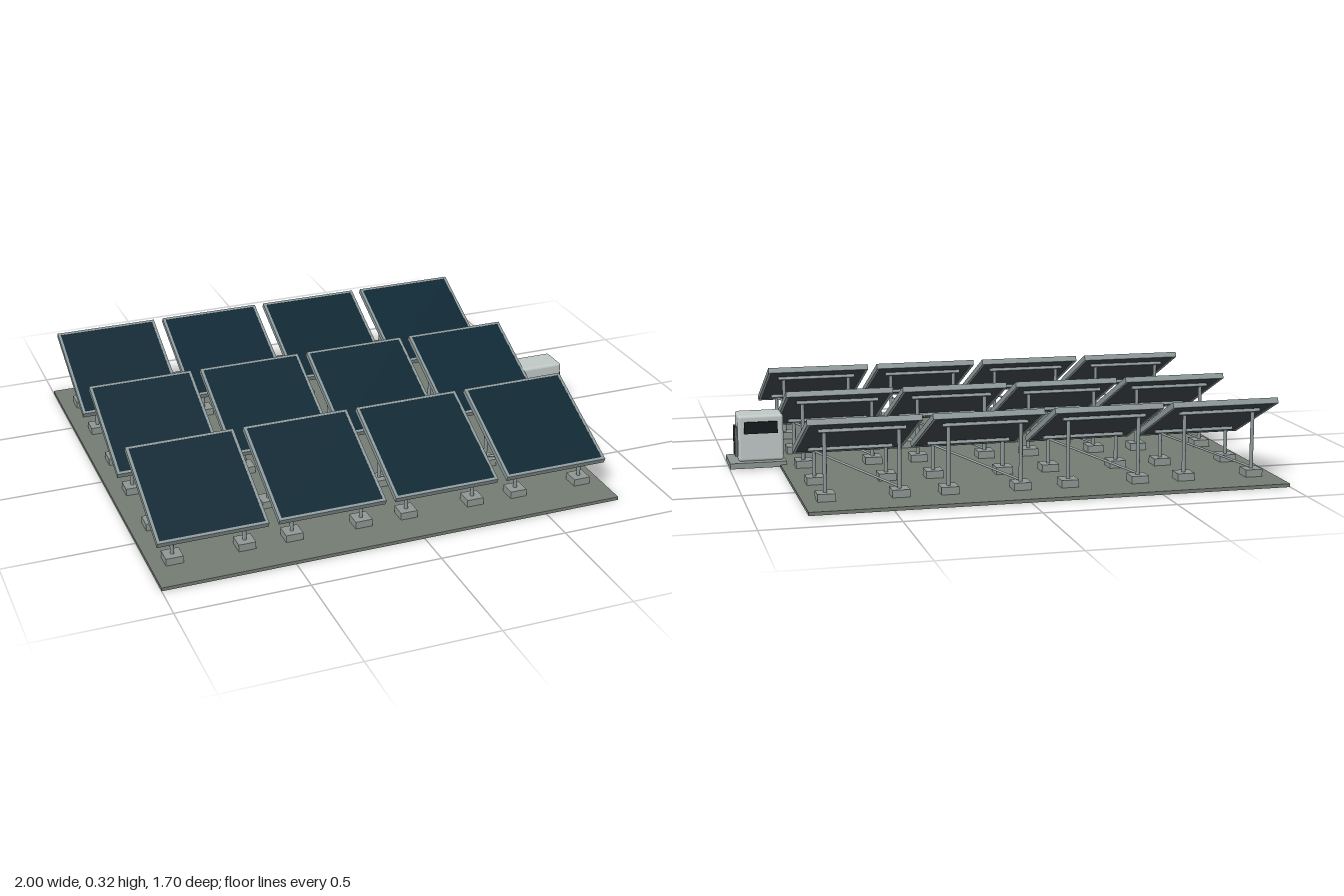
import * as THREE from 'three';
import { RoundedBoxGeometry } from 'three/addons/geometries/RoundedBoxGeometry.js';

const mat = (name, color) => {
  const m = new THREE.MeshStandardMaterial({ color });
  m.name = name;
  return m;
};

export function createModel() {
  const M = {
    ground: mat('gravel grey', 0x727b72),
    concrete: mat('concrete', 0x8d9692),
    metal: mat('galvanised metal', 0x8c9899),
    glass: mat('solar glass', 0x0d2733),
    back: mat('back sheet', 0x3a4246),
    cabinet: mat('cabinet grey', 0xbfc7c5),
    vent: mat('vent grey', 0x5f696b),
    screen: mat('dark screen', 0x12191d),
  };
  const root = new THREE.Group();
  root.name = 'solarArray';

  const add = (parent, name, geometry, material, x, y, z) => {
    const mesh = new THREE.Mesh(geometry, material);
    mesh.name = name;
    mesh.position.set(x, y, z);
    parent.add(mesh);
    return mesh;
  };
  const box = (parent, name, material, w, h, d, x, y, z) =>
    add(parent, name, new THREE.BoxGeometry(w, h, d), material, x, y, z);

  // Round bar between two points
  const bar = (parent, name, a, b, r) => {
    const dir = b.clone().sub(a);
    const mid = a.clone().add(b).multiplyScalar(0.5);
    const m = add(parent, name, new THREE.CylinderGeometry(r, r, dir.length(), 8), M.metal, mid.x, mid.y, mid.z);
    m.quaternion.setFromUnitVectors(new THREE.Vector3(0, 1, 0), dir.normalize());
  };

  // Ground slab
  box(root, 'groundSlab', M.ground, 1.805, 0.013, 1.7, -0.0975, 0.0065, 0);

  // One tilted panel on four footed posts
  const W = 0.415, L = 0.445, T = 0.022, EDGE = 0.011;
  const tilt = THREE.MathUtils.degToRad(25);
  const centreY = 0.218, px = 0.136, pz = 0.132;
  const makeUnit = () => {
    const unit = new THREE.Group();
    unit.name = 'panelUnit';

    const panel = new THREE.Group();
    panel.name = 'tiltedPanel';
    panel.position.y = centreY;
    panel.rotation.x = tilt;
    unit.add(panel);
    for (const s of [-1, 1]) {
      box(panel, 'frameSide', M.metal, EDGE, T, L, s * (W - EDGE) / 2, 0, 0);
      box(panel, 'frameEnd', M.metal, W - 2 * EDGE, T, EDGE, 0, 0, s * (L - EDGE) / 2);
      // Cross rail under the panel, at the post heads
      box(panel, 'crossRail', M.metal, 0.32, 0.012, 0.014, 0, -T / 2 - 0.005, s * pz / Math.cos(tilt));
    }
    const iw = W - 2 * EDGE, il = L - 2 * EDGE;
    box(panel, 'glass', M.glass, iw, 0.01, il, 0, 0.0055, 0);
    box(panel, 'backSheet', M.back, iw, 0.009, il, 0, -0.004, 0);

    for (const sx of [-1, 1]) for (const sz of [-1, 1]) {
      const x = sx * px, z = sz * pz;
      const top = centreY - z * Math.tan(tilt) - 0.014;
      box(unit, 'footing', M.concrete, 0.066, 0.03, 0.066, x, 0.026, z);
      bar(unit, 'post', new THREE.Vector3(x, 0.035, z), new THREE.Vector3(x, top, z), 0.0075);
    }
    // Diagonal brace from rear foot to front post head
    bar(unit, 'brace', new THREE.Vector3(-px, 0.045, -pz), new THREE.Vector3(px, 0.135, pz), 0.0045);
    return unit;
  };

  for (let row = -1; row <= 1; row++) for (let col = 0; col < 4; col++) {
    const unit = makeUnit();
    unit.position.set(-0.776 + col * 0.4535, 0, row * 0.55);
    root.add(unit);
  }

  // Inverter cabinet on its pad
  const inverter = new THREE.Group();
  inverter.name = 'inverterCabinet';
  root.add(inverter);
  box(inverter, 'pad', M.concrete, 0.22, 0.022, 0.176, 0.89, 0.016, 0);
  add(inverter, 'cabinetBody', new RoundedBoxGeometry(0.178, 0.184, 0.118, 3, 0.012), M.cabinet, 0.875, 0.117, 0);
  for (let i = -2; i <= 2; i++)
    box(inverter, 'coolingFin', M.vent, 0.012, 0.115, 0.006, 0.968, 0.1, 0.003 + i * 0.0145);
  box(inverter, 'displayScreen', M.screen, 0.13, 0.046, 0.009, 0.875, 0.16, -0.063);

  return root;
}
